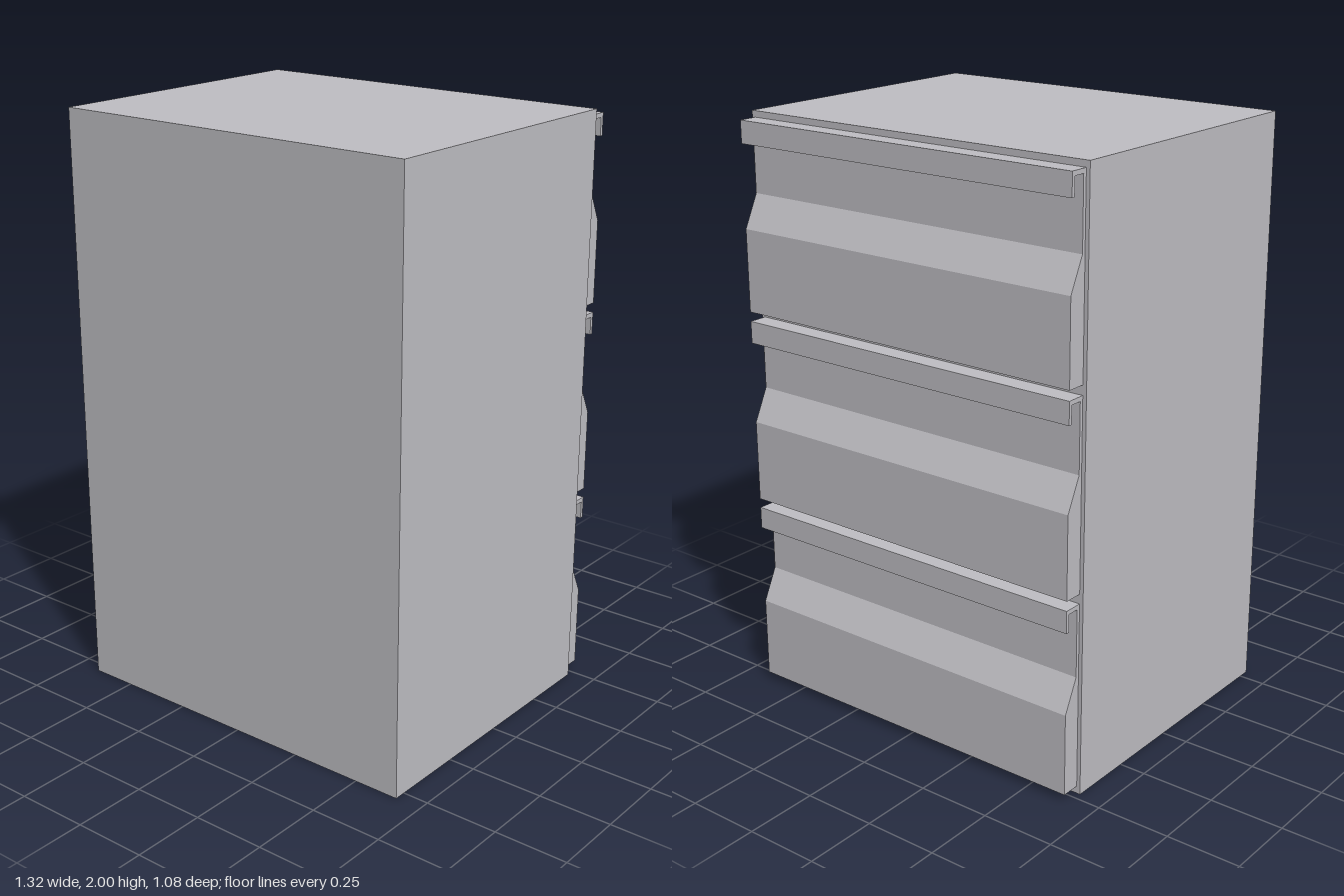
import * as THREE from 'three';

export function createModel() {
  const model = new THREE.Group();
  model.name = 'drawerCabinet';
  const grey = new THREE.MeshStandardMaterial({ color: 0xc0bfc4 });
  grey.name = 'light grey';

  // Plain cabinet box
  const backZ = 0.54, faceZ = -0.475;
  const body = new THREE.Mesh(new THREE.BoxGeometry(1.32, 2, backZ - faceZ), grey);
  body.name = 'cabinetBody';
  body.position.set(0, 1, (backZ + faceZ) / 2);
  model.add(body);

  // Drawer front section: outward depth, height; hooked grip on top, sloped belly below
  const section = [
    [0, 0], [0.065, 0], [0.065, 0.278], [0.012, 0.387], [0.012, 0.615],
    [0.053, 0.615], [0.053, 0.555], [0.065, 0.555], [0.065, 0.63], [0, 0.63],
  ];
  const shape = new THREE.Shape(section.map(([d, y]) => new THREE.Vector2(d, y)));
  const width = 1.294;
  const drawerGeometry = new THREE.ExtrudeGeometry(shape, { depth: width, bevelEnabled: false });
  drawerGeometry.translate(0, 0, -width / 2);
  drawerGeometry.rotateY(Math.PI / 2);

  // Three equal drawers
  for (let i = 0; i < 3; i++) {
    const drawer = new THREE.Mesh(drawerGeometry, grey);
    drawer.name = `drawerFront${i + 1}`;
    drawer.position.set(0, 0.025 + i * 0.662, faceZ);
    model.add(drawer);
  }
  return model;
}
